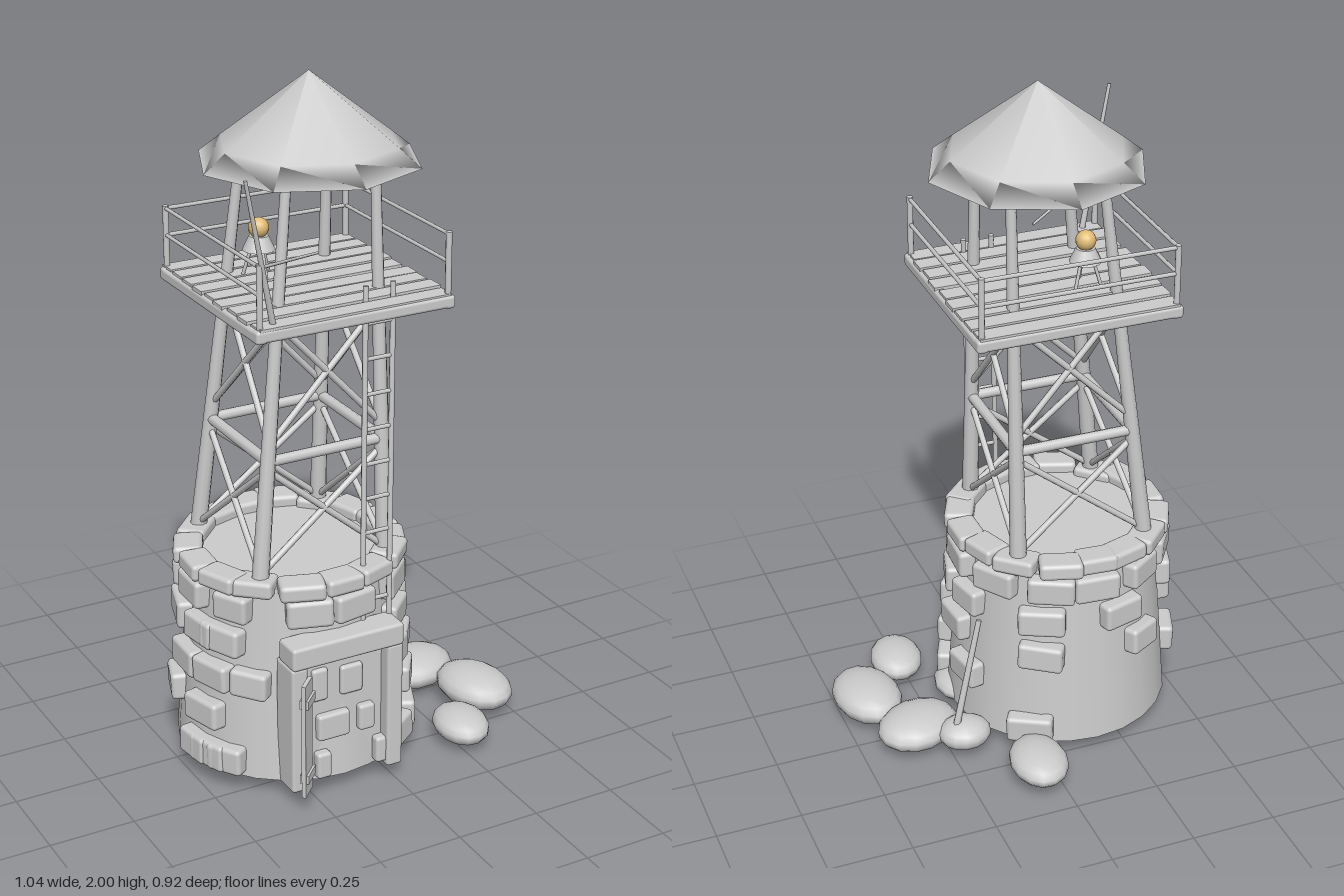
import * as THREE from 'three';
import { RoundedBoxGeometry } from 'three/addons/geometries/RoundedBoxGeometry.js';

export function createModel() {
  const model = new THREE.Group();
  const grey = new THREE.MeshStandardMaterial({ color: 0xcccccc });
  const amber = new THREE.MeshStandardMaterial({ color: 0xe3bd74 });
  const V = (x, y, z) => new THREE.Vector3(x, y, z);
  const BX = -0.155, BZ = 0.05; // centre of the stone base
  let seed = 7;
  const rand = () => ((seed = (seed * 16807) % 2147483647) / 2147483647) * 2 - 1;

  const group = (name) => {
    const g = new THREE.Group();
    g.name = name;
    model.add(g);
    return g;
  };
  const add = (parent, name, geo, x = 0, y = 0, z = 0, mat = grey) => {
    const m = new THREE.Mesh(geo, mat);
    m.name = name;
    m.position.set(x, y, z);
    parent.add(m);
    return m;
  };
  // round pole from a to b, optionally tapered
  const pole = (parent, name, a, b, r0, r1 = r0, sides = 8) => {
    const dir = b.clone().sub(a);
    const mid = a.clone().add(b).multiplyScalar(0.5);
    const m = add(parent, name, new THREE.CylinderGeometry(r1, r0, dir.length(), sides), mid.x, mid.y, mid.z);
    m.quaternion.setFromUnitVectors(V(0, 1, 0), dir.normalize());
    return m;
  };
  const block = (parent, name, w, h, d, x, y, z, r = 0.01) =>
    add(parent, name, new RoundedBoxGeometry(w, h, d, 2, r), x, y, z);

  // Stone base
  const base = group('stoneBase');
  add(base, 'wall', new THREE.CylinderGeometry(0.288, 0.332, 0.58, 24), BX, 0.34, BZ);
  const wallRadius = (y) => 0.332 - (y - 0.05) * 0.076;
  const brick = (name, deg, y, w, h, d, out) => {
    const a = THREE.MathUtils.degToRad(deg), r = wallRadius(y) + out;
    const m = block(base, name, w, h, d, BX + Math.sin(a) * r, y, BZ + Math.cos(a) * r, 0.013);
    m.rotation.set(rand() * 0.04, a + rand() * 0.08, rand() * 0.03, 'YXZ');
  };
  // scattered bricks: height of the row, then angles around the wall
  const rows = [
    [0.565, [-59, -17, 8, 45, 68, 90, 122, 155, 180, 211, 240, 270]],
    [0.46, [-65, 45, 75, 102, 150, 195, 251, 280]],
    [0.345, [-70, -48, 40, 57, 90, 150, 209, 267]],
    [0.22, [-75, 60, 104, 250]],
    [0.1, [-80, -60, 38, 62, 145, 290]],
  ];
  for (const [y, angles] of rows)
    for (const a of angles) brick('brick', a, y, 0.125 + rand() * 0.015, 0.082, 0.055, 0.006);
  for (let i = 0; i < 16; i++)
    brick('rimStone', i * 22.5 + rand() * 3, 0.635 + rand() * 0.004, 0.122 + rand() * 0.01, 0.05, 0.085, -0.005 + rand() * 0.008);

  // Doorway with small stones inside and a leaf swung open
  const door = group('doorway');
  block(door, 'lintel', 0.35, 0.068, 0.09, -0.157, 0.465, 0.365);
  block(door, 'rightPost', 0.05, 0.39, 0.1, -0.006, 0.24, 0.355);
  block(door, 'leftPost', 0.05, 0.39, 0.1, -0.308, 0.24, 0.355);
  add(door, 'doorBack', new THREE.BoxGeometry(0.29, 0.38, 0.06), -0.157, 0.24, 0.335);
  for (const [x, y, w, h] of [[-0.23, 0.35, 0.05, 0.1], [-0.13, 0.345, 0.07, 0.09],
    [-0.19, 0.215, 0.1, 0.08], [-0.085, 0.215, 0.05, 0.08], [-0.225, 0.1, 0.045, 0.08], [-0.04, 0.1, 0.04, 0.08]])
    block(door, 'doorwayStone', w, h, 0.035, x, y, 0.36 + (0.36 - y) * 0.07);
  const leaf = new THREE.Group();
  leaf.name = 'doorLeaf';
  leaf.position.set(-0.303, 0.235, 0.432);
  leaf.rotation.y = Math.PI / 4;
  door.add(leaf);
  add(leaf, 'leafPlank', new THREE.BoxGeometry(0.066, 0.35, 0.012));
  for (const y of [-0.12, 0.115]) add(leaf, 'leafStrap', new THREE.BoxGeometry(0.066, 0.026, 0.026), 0.006, y, 0);

  // Timber frame: four leaning legs, girts and cross braces
  const frame = group('timberFrame');
  const low = 0.6, high = 1.77;
  const corners = [[-1, 1], [1, 1], [1, -1], [-1, -1]];
  const legAt = (i, y) => {
    const [sx, sz] = corners[i % 4], t = (y - low) / (high - low);
    const half = THREE.MathUtils.lerp(0.198, 0.133, t);
    return V(THREE.MathUtils.lerp(-0.153, -0.09, t) + sx * half, y, 0.048 + sz * half);
  };
  for (let i = 0; i < 4; i++) {
    pole(frame, 'leg', legAt(i, low), legAt(i, high), 0.025, 0.014, 10);
    pole(frame, 'girt', legAt(i, 0.985), legAt(i + 1, 0.985), 0.016);
    for (const [a, b] of [[0.66, 0.96], [1.03, 1.37]]) {
      pole(frame, 'brace', legAt(i, a), legAt(i + 1, b), 0.0095);
      pole(frame, 'brace', legAt(i, b), legAt(i + 1, a), 0.0095);
    }
  }

  // Lookout platform
  const deck = group('platform');
  const PX = -0.1, PZ = 0.05;
  for (const s of [-1, 1]) {
    block(deck, 'edgeBeam', 0.6, 0.036, 0.034, PX, 1.397, PZ + s * 0.283);
    block(deck, 'edgeBeam', 0.034, 0.036, 0.6, PX + s * 0.283, 1.395, PZ);
    block(deck, 'joist', 0.03, 0.03, 0.56, PX + s * 0.13, 1.391, PZ);
  }
  for (let i = 0; i < 9; i++) {
    const m = add(deck, 'plank', new THREE.BoxGeometry(0.585 + rand() * 0.012, 0.014, 0.056), PX, 1.413 + rand() * 0.002, PZ - 0.268 + i * 0.067);
    m.rotation.y = rand() * 0.012;
  }

  // Railing, with the front side broken away
  const railing = group('railing');
  const post = (i, y) => V(PX + corners[i % 4][0] * 0.283, y, PZ + corners[i % 4][1] * 0.283);
  for (const i of [1, 2, 3]) {
    pole(railing, 'railPost', post(i, 1.4), post(i, 1.592), 0.009);
    for (const y of [1.508, 1.585]) pole(railing, 'rail', post(i, y), post(i + 1, y), 0.006, 0.006, 6);
  }
  pole(railing, 'railPost', post(0, 1.4), post(0, 1.592), 0.009);
  pole(railing, 'brokenRail', V(-0.375, 1.58, 0.325), V(-0.12, 1.53, 0.16), 0.005, 0.004, 6);
  pole(railing, 'leaningPole', V(-0.335, 1.41, 0.315), V(-0.435, 1.83, 0.365), 0.009, 0.005, 6);

  // Ladder from the lintel to the deck
  const ladder = group('ladder');
  const ladderAt = (s, y) => {
    const t = (y - 0.49) / 0.97;
    return V(-0.033 + t * 0.035 + s * 0.042, y, 0.335 - t * 0.055);
  };
  for (const s of [-1, 1]) pole(ladder, 'ladderRail', ladderAt(s, 0.49), ladderAt(s, 1.46), 0.008);
  for (let i = 0; i < 9; i++) pole(ladder, 'rung', ladderAt(-1, 0.555 + i * 0.1), ladderAt(1, 0.555 + i * 0.1), 0.006, 0.006, 6);

  // Eight-sided roof
  const roofProfile = [[0, 1.785], [0.313, 1.755], [0.25, 1.806], [0, 2]].map(([r, y]) => new THREE.Vector2(r, y));
  add(model, 'roof', new THREE.LatheGeometry(roofProfile, 8), -0.087, 0, 0.05);

  // Lamp on a tripod
  const lamp = group('lamp');
  lamp.position.set(-0.195, 0, -0.04);
  add(lamp, 'lampBase', new THREE.CylinderGeometry(0.027, 0.046, 0.04, 12), 0, 1.513, 0);
  add(lamp, 'lampGlobe', new THREE.SphereGeometry(0.029, 14, 10), 0, 1.555, 0, amber);
  for (let i = 0; i < 3; i++) {
    const a = i * Math.PI * 2 / 3 + Math.PI / 2, c = Math.cos(a), s = Math.sin(a);
    pole(lamp, 'tripodLeg', V(c * 0.02, 1.5, s * 0.02), V(c * 0.045, 1.418, s * 0.045), 0.005, 0.005, 6);
  }

  // Boulders and a stick leaning on the wall
  const boulders = group('boulders');
  for (const [x, y, z, rx, ry, rz, turn] of [[0.058, 0.07, -0.345, 0.085, 0.045, 0.117, -0.1],
    [0.21, 0.068, -0.135, 0.08, 0.045, 0.07, 0], [0.325, 0.062, -0.045, 0.13, 0.052, 0.105, 0.4],
    [0.42, 0.065, 0.148, 0.1, 0.055, 0.137, 0.1], [0.272, 0.057, 0.312, 0.08, 0.045, 0.107, -0.15],
    [0.08, 0.06, 0.12, 0.13, 0.045, 0.12, 0]]) {
    const m = add(boulders, 'boulder', new THREE.SphereGeometry(1, 14, 9), x, y, z);
    m.scale.set(rx, ry, rz);
    m.rotation.y = turn;
  }
  add(boulders, 'pebble', new THREE.SphereGeometry(0.03, 10, 6), 0.42, 0.03, 0.148);
  pole(model, 'leaningStick', V(0.245, 0.07, -0.145), V(0.145, 0.42, -0.09), 0.011, 0.008, 6);
  return model;
}
